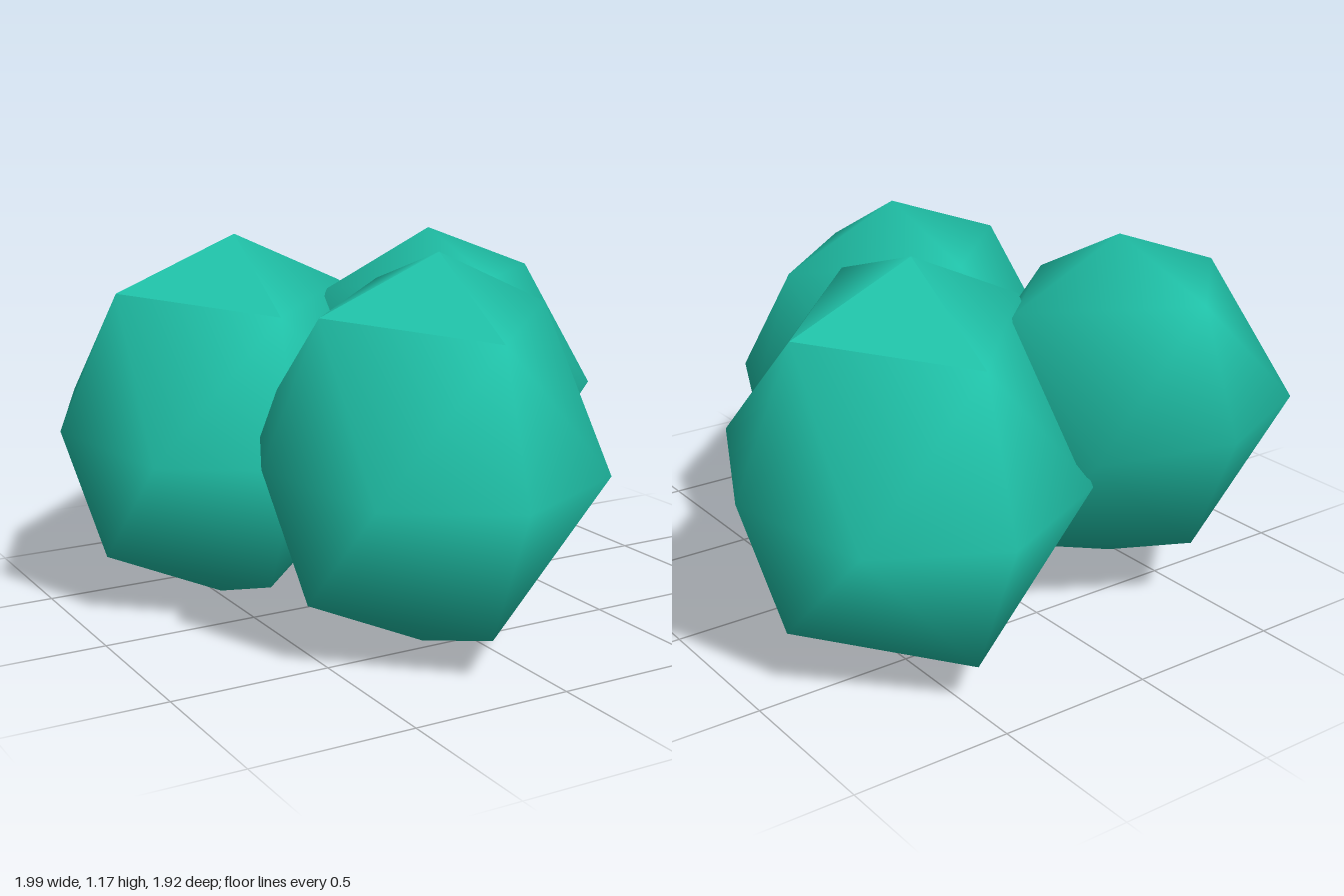
import * as THREE from 'three';

const leafGreen = new THREE.MeshStandardMaterial({ color: 0x1fbfa6 });
leafGreen.name = 'leafGreen';

// One faceted, slightly skewed ball with smooth normals and one flat facet near the top
function makeClumpGeometry() {
  const geometry = new THREE.OctahedronGeometry(1, 1);
  const pos = geometry.attributes.position;
  const normal = geometry.attributes.normal;

  // Find the facet: the top corner triangle of the right-front octant
  let facet = -1;
  for (let i = 0; i < pos.count; i += 3) {
    const mid = new THREE.Vector3();
    for (let k = 0; k < 3; k++) mid.add(new THREE.Vector3().fromBufferAttribute(pos, i + k));
    if (mid.x < -0.1 && mid.z > 0.1 && mid.y > 2) facet = i;
  }

  // Tilt and squash the ball, then place it
  const axes = new THREE.Matrix4().makeBasis(
    new THREE.Vector3(0.59, -0.015, -0.03),
    new THREE.Vector3(0.075, 0.587, -0.08),
    new THREE.Vector3(-0.04, -0.06, 0.59)
  ).setPosition(-0.067, 0.595, 0.37);
  geometry.applyMatrix4(axes);

  // Flatten the shading of the facet
  if (facet >= 0) {
    const [a, b, c] = [0, 1, 2].map((k) => new THREE.Vector3().fromBufferAttribute(pos, facet + k));
    const n = b.sub(a).cross(c.sub(a)).normalize();
    for (let k = 0; k < 3; k++) normal.setXYZ(facet + k, n.x, n.y, n.z);
  }
  return geometry;
}

export function createModel() {
  const model = new THREE.Group();
  model.name = 'bush';
  const geometry = makeClumpGeometry();

  // Three copies of the clump; the left one is turned half round
  const clumps = [
    { name: 'frontClump', x: 0, z: 0, turn: 0 },
    { name: 'backRightClump', x: -0.34, z: -0.74, turn: 0 },
    { name: 'backLeftClump', x: 0.335, z: 0, turn: Math.PI },
  ];
  for (const { name, x, z, turn } of clumps) {
    const clump = new THREE.Mesh(geometry, leafGreen);
    clump.name = name;
    clump.position.set(x, 0, z);
    clump.rotation.y = turn;
    model.add(clump);
  }
  return model;
}
